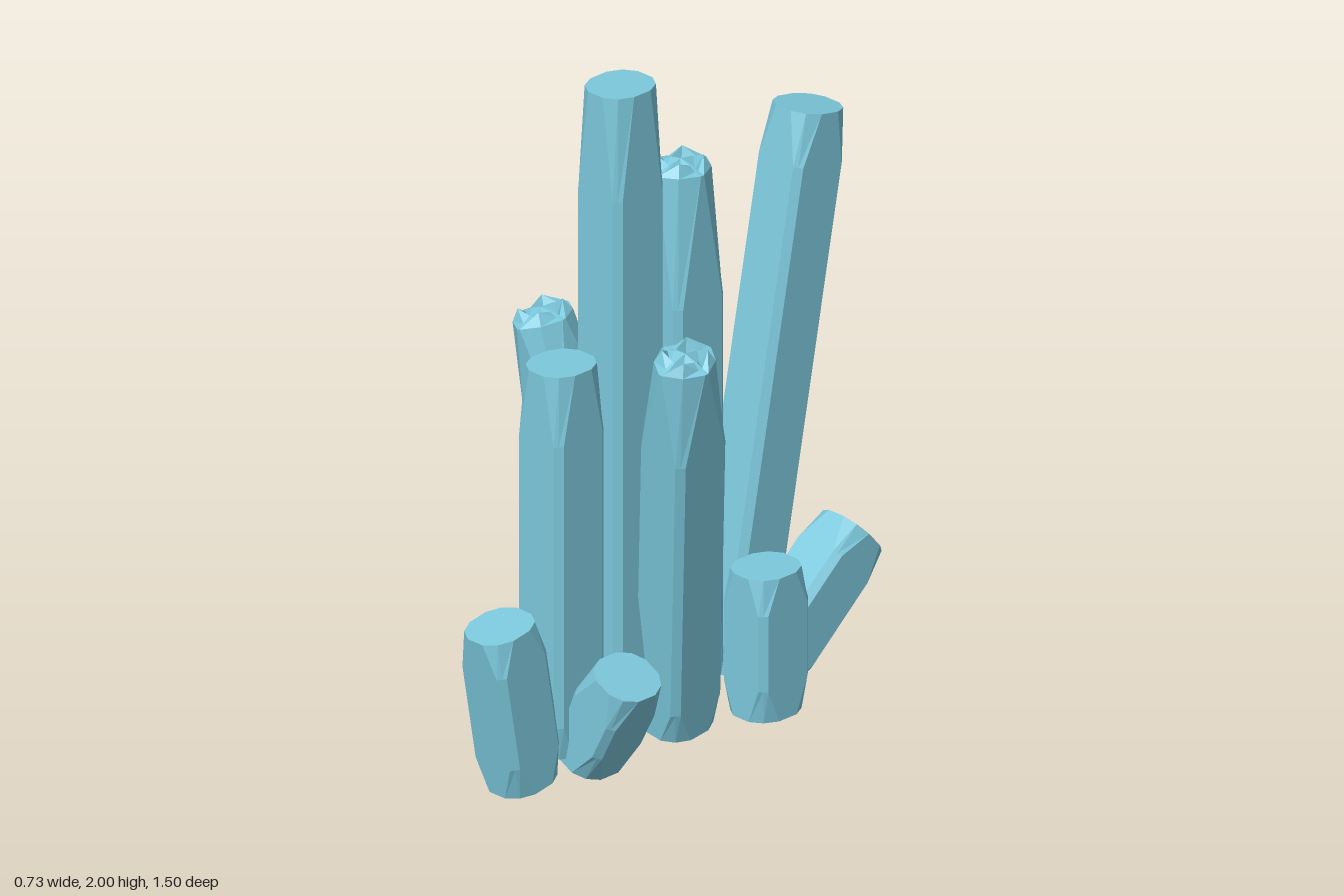
import * as THREE from 'three';

const HX = 0.085, HZ = 0.095; // half width and half depth of every crystal
const material = new THREE.MeshStandardMaterial({ color: 0x7cc8dc, flatShading: true });

// Square section with cut corners: flat = half length of each side, diag = corner reach (1 = square)
function section(y, flat, diag, scale = 1, zigzag = 0) {
  const ring = [];
  const corner = [[1, flat], [diag, diag], [flat, 1]];
  for (let k = 0; k < 4; k++) {
    for (let j = 0; j < 3; j++) {
      let [x, z] = corner[j];
      for (let r = 0; r < k; r++) [x, z] = [-z, x];
      const lift = zigzag * (j === 1 ? 1 : -1);
      ring.push([x * HX * scale, y + lift, z * HZ * scale]);
    }
  }
  return ring;
}

// Skin a stack of equal-sized rings, bottom to top
function loft(rings) {
  const pos = [], index = [];
  const n = rings[0].length;
  rings.forEach(r => r.forEach(p => pos.push(...p)));
  for (let i = 0; i < rings.length - 1; i++) {
    for (let j = 0; j < n; j++) {
      const a = i * n + j, b = i * n + (j + 1) % n;
      if (i > 0) index.push(a, a + n, b);
      if (i < rings.length - 2) index.push(a + n, b + n, b);
      if (i === 0) index.push(a + n, b + n, b);
      if (i === rings.length - 2 && i === 0) index.push(a, a + n, b);
    }
  }
  const g = new THREE.BufferGeometry();
  g.setAttribute('position', new THREE.Float32BufferAttribute(pos, 3));
  g.setIndex(index);
  const flat = g.toNonIndexed();
  flat.computeVertexNormals();
  return flat;
}

// Crystal from the centre of its base to the centre of its top
function crystal(name, base, top, { shoulder = 0.1, foot = 0.1, jagged = false }) {
  const from = new THREE.Vector3(...base);
  const dir = new THREE.Vector3(...top).sub(from);
  const h = dir.length();
  const rings = [
    section(0, 0.35, 0.76, 0),
    section(0, 0.35, 0.76),
    section(foot, 0.78, 0.89),
    section(h - shoulder, 0.78, 0.89),
  ];
  if (jagged) {
    // Crown of small points around a shallow pit
    rings.push(
      section(h - 0.02, 0.06, 0.66),
      section(h, 0.1, 0.68, 0.72, 0.015),
      section(h - 0.015, 0.1, 0.68, 0.45, -0.012),
      section(h + 0.005, 0.1, 0.68, 0)
    );
  } else {
    rings.push(section(h, 0.33, 0.76), section(h, 0.33, 0.76, 0));
  }
  const mesh = new THREE.Mesh(loft(rings), material);
  mesh.name = name;
  mesh.position.copy(from);
  mesh.quaternion.setFromUnitVectors(new THREE.Vector3(0, 1, 0), dir.normalize());
  return mesh;
}

export function createModel() {
  const group = new THREE.Group();
  group.name = 'crystalCluster';
  const c = 0.005;
  group.add(
    // Tall upright crystals along the middle
    crystal('tallestCrystal', [c, 0.11, 0.195], [c, 2, 0.195], { shoulder: 0.3 }),
    crystal('middleCrystal', [c, 0.09, -0.035], [c, 1.7, -0.035], { shoulder: 0.4, jagged: true }),
    crystal('frontCrystal', [c, 0.1, 0.42], [c, 1.24, 0.42], { shoulder: 0.2 }),
    // Long leaning crystals
    crystal('backLeaningCrystal', [c, 0.13, -0.215], [c, 1.71, -0.52], { shoulder: 0.15 }),
    crystal('leftLeaningCrystal', [0.09, 0.08, 0.06], [0.28, 1.29, 0.22], { shoulder: 0.3, jagged: true }),
    crystal('rightLeaningCrystal', [-0.07, 0.08, 0.06], [-0.285, 1.24, 0.21], { shoulder: 0.3, jagged: true }),
    // Short crystals around the foot
    crystal('backShortCrystal', [c, 0.07, -0.33], [c, 0.38, -0.69], {}),
    crystal('frontShortCrystal', [c, 0.045, 0.57], [c, 0.53, 0.655], {}),
    crystal('frontLeftShortCrystal', [0.075, 0.08, 0.38], [0.22, 0.36, 0.38], {}),
    crystal('frontRightShortCrystal', [-0.14, 0.06, 0.38], [-0.14, 0.375, 0.38], {}),
    crystal('backLeftShortCrystal', [0.182, 0.07, -0.185], [0.182, 0.495, -0.185], {}),
    crystal('backRightShortCrystal', [-0.085, 0.085, -0.185], [-0.185, 0.49, -0.185], {})
  );
  return group;
}
